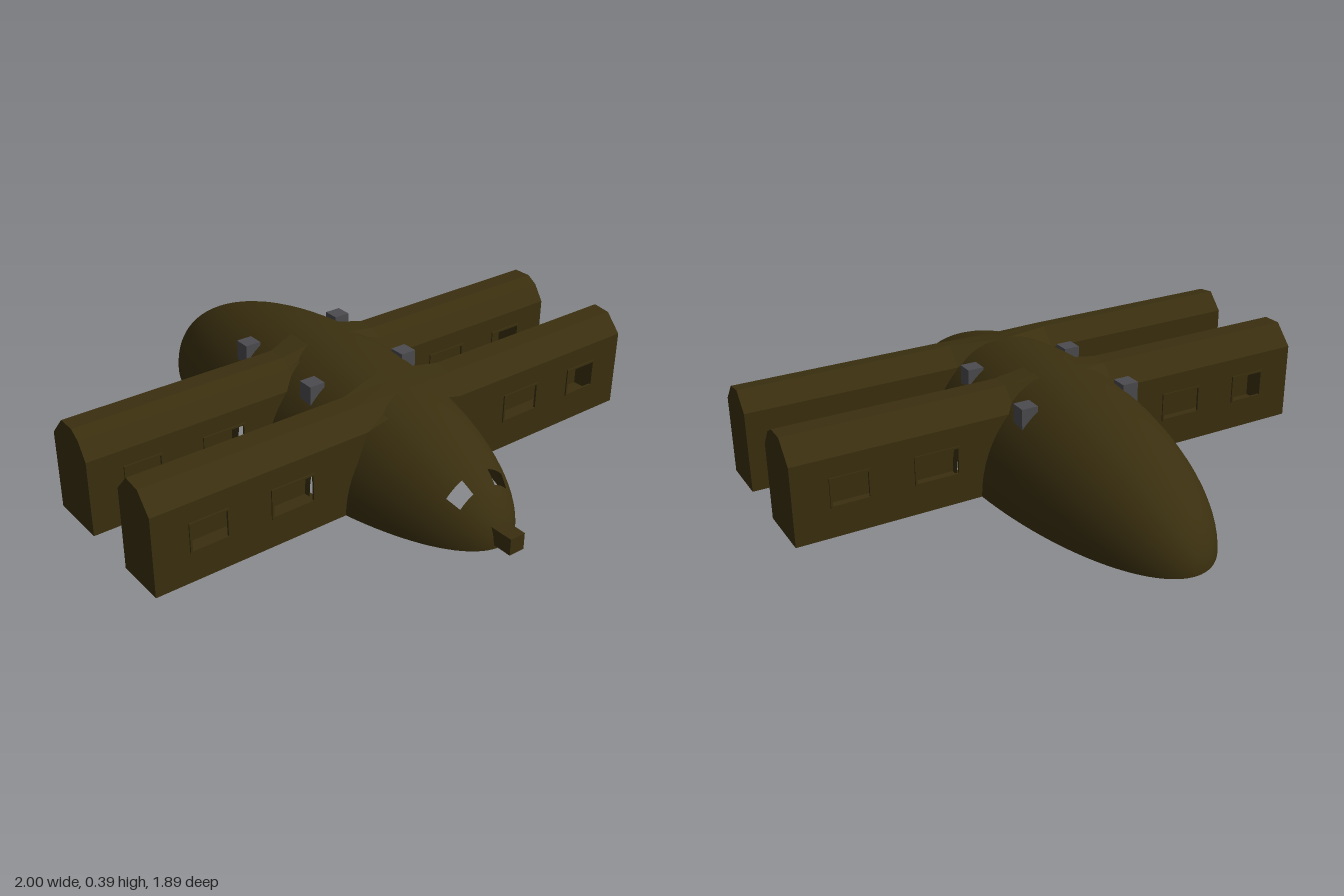
import * as THREE from 'three';

const olive = new THREE.MeshStandardMaterial({ color: 0x3a2f0f, side: THREE.DoubleSide });
olive.name = 'darkOlive';
const grey = new THREE.MeshStandardMaterial({ color: 0x4c4c50 });
grey.name = 'postGrey';

// Hull: half ellipsoid lying along z, open underneath
const RX = 0.337, RY = 0.392, RZ = 0.91, ZC = -0.033;
const ridgeY = z => RY * Math.sqrt(1 - ((z - ZC) / RZ) ** 2);

// Wing cross-sections as [z, y], from the front wall over the roof to the back wall
const wings = [
  { name: 'frontWing', profile: [[0.445, 0.285], [0.385, 0.352], [0.32, 0.36], [0.26, 0.295]] },
  { name: 'rearWing', profile: [[0.05, 0.275], [0.01, 0.335], [-0.03, 0.36], [-0.1, 0.36], [-0.17, 0.285]] },
];
const windows = [[0.42, 0.572], [0.74, 0.867]];
const WIN_LOW = 0.115, WIN_HIGH = 0.208, ROOT = 0.2;

function mesh(name, geometry, material, parent) {
  const m = new THREE.Mesh(geometry, material);
  m.name = name;
  parent.add(m);
  return m;
}

// Flat-faced strip between two matching rows of points
function strip(a, b) {
  const pos = [];
  for (let i = 0; i < a.length - 1; i++) {
    pos.push(...a[i], ...b[i], ...b[i + 1], ...a[i], ...b[i + 1], ...a[i + 1]);
  }
  const g = new THREE.BufferGeometry();
  g.setAttribute('position', new THREE.Float32BufferAttribute(pos, 3));
  g.computeVertexNormals();
  return g;
}

function polygon(points) {
  return new THREE.Shape(points.map(p => new THREE.Vector2(...p)));
}

function rectangle(x0, x1, y0, y1) {
  return polygon([[x0, y0], [x1, y0], [x1, y1], [x0, y1]]);
}

// Ellipsoid grid with cells left out for the eye holes and the wing doorways
function hullGeometry() {
  const NT = 62, NA = 30, pos = [], nor = [], index = [];
  const n = new THREE.Vector3();
  for (let i = 0; i <= NT; i++) {
    for (let j = 0; j <= NA; j++) {
      const t = Math.PI * i / NT, a = Math.PI * j / NA;
      const x = Math.sin(t) * Math.cos(a), y = Math.sin(t) * Math.sin(a), z = Math.cos(t);
      pos.push(RX * x, RY * y, ZC + RZ * z);
      n.set(x / RX, y / RY, z / RZ).normalize();
      nor.push(n.x, n.y, n.z);
    }
  }
  const W = NA + 1;
  for (let i = 0; i < NT; i++) {
    for (let j = 0; j < NA; j++) {
      const k = Math.min(j, NA - 1 - j);
      const eye = (i === 9 || i === 10) && k >= 8 && k <= 11;
      const z0 = pos[(i * W + j) * 3 + 2], z1 = pos[((i + 1) * W + j) * 3 + 2];
      const top = Math.max(pos[(i * W + k + 1) * 3 + 1], pos[((i + 1) * W + k + 1) * 3 + 1]);
      const door = top < 0.25 && wings.some(w => z0 < w.profile[0][0] && z1 > w.profile.at(-1)[0]);
      if (eye || door) continue;
      const a = i * W + j, b = a + W;
      index.push(a, b, b + 1, a, b + 1, a + 1);
    }
  }
  const g = new THREE.BufferGeometry();
  g.setAttribute('position', new THREE.Float32BufferAttribute(pos, 3));
  g.setAttribute('normal', new THREE.Float32BufferAttribute(nor, 3));
  g.setIndex(index);
  return g;
}

// Hollow wing on side s (+1 left, -1 right)
function addWing({ name, profile }, s, parent) {
  const wing = new THREE.Group();
  wing.name = (s > 0 ? 'left ' : 'right ') + name;
  parent.add(wing);
  const at = x => profile.map(([z, y]) => [s * x, y, z]);
  const zFront = profile[0][0], zBack = profile.at(-1)[0];

  mesh('roof', strip(at(ROOT), at(1)), olive, wing);
  // Low saddle joining the roof to the hull ridge
  mesh('roofSaddle', strip(at(ROOT), profile.map(([z]) => [0, ridgeY(z), z])), olive, wing);
  mesh('floor', strip([[s * 0.3, 0, zFront], [s * 0.3, 0, zBack]],
    [[s, 0, zFront], [s, 0, zBack]]), olive, wing);

  // Closed outer end
  const end = new THREE.ShapeGeometry(polygon([[-zFront, 0], ...profile.map(([z, y]) => [-z, y]), [-zBack, 0]]));
  end.rotateY(Math.PI / 2).translate(s, 0, 0);
  mesh('endWall', end, olive, wing);

  // Window walls with thin raised frames
  for (const [z, y, out] of [[...profile[0], 1], [...profile.at(-1), -1]]) {
    const edge = RX * Math.sqrt(1 - ((z - ZC) / RZ) ** 2);
    const wall = polygon([[s * (edge - 0.005), 0], [s, 0], [s, y], [s * ROOT, y], [s * (edge - 0.03), 0.14]]);
    for (const [x0, x1] of windows) {
      wall.holes.push(rectangle(s * x0, s * x1, WIN_LOW, WIN_HIGH));
      const frame = rectangle(s * (x0 - 0.007), s * (x1 + 0.007), WIN_LOW - 0.007, WIN_HIGH + 0.007);
      frame.holes.push(rectangle(s * x0, s * x1, WIN_LOW, WIN_HIGH));
      const g = new THREE.ExtrudeGeometry(frame, { depth: 0.008, bevelEnabled: false });
      mesh('windowFrame', g, olive, wing).position.z = z + (out > 0 ? -0.003 : -0.005);
    }
    const g = new THREE.ShapeGeometry(wall);
    if (out < 0) g.rotateY(Math.PI).scale(-1, 1, 1);
    mesh('windowWall', g, olive, wing).position.z = z;
  }
}

export function createModel() {
  const model = new THREE.Group();
  model.name = 'shelter';
  mesh('hull', hullGeometry(), olive, model);
  mesh('noseSpout', new THREE.BoxGeometry(0.06, 0.06, 0.085), olive, model).position.set(0, 0.045, 0.9);

  for (const s of [1, -1]) {
    for (const w of wings) addWing(w, s, model);
    // Upright posts standing through the hull
    for (const z of [0.145, -0.24]) {
      mesh('post', new THREE.BoxGeometry(0.06, 0.342, 0.06), grey, model).position.set(s * 0.2, 0.171, z);
    }
  }
  return model;
}
